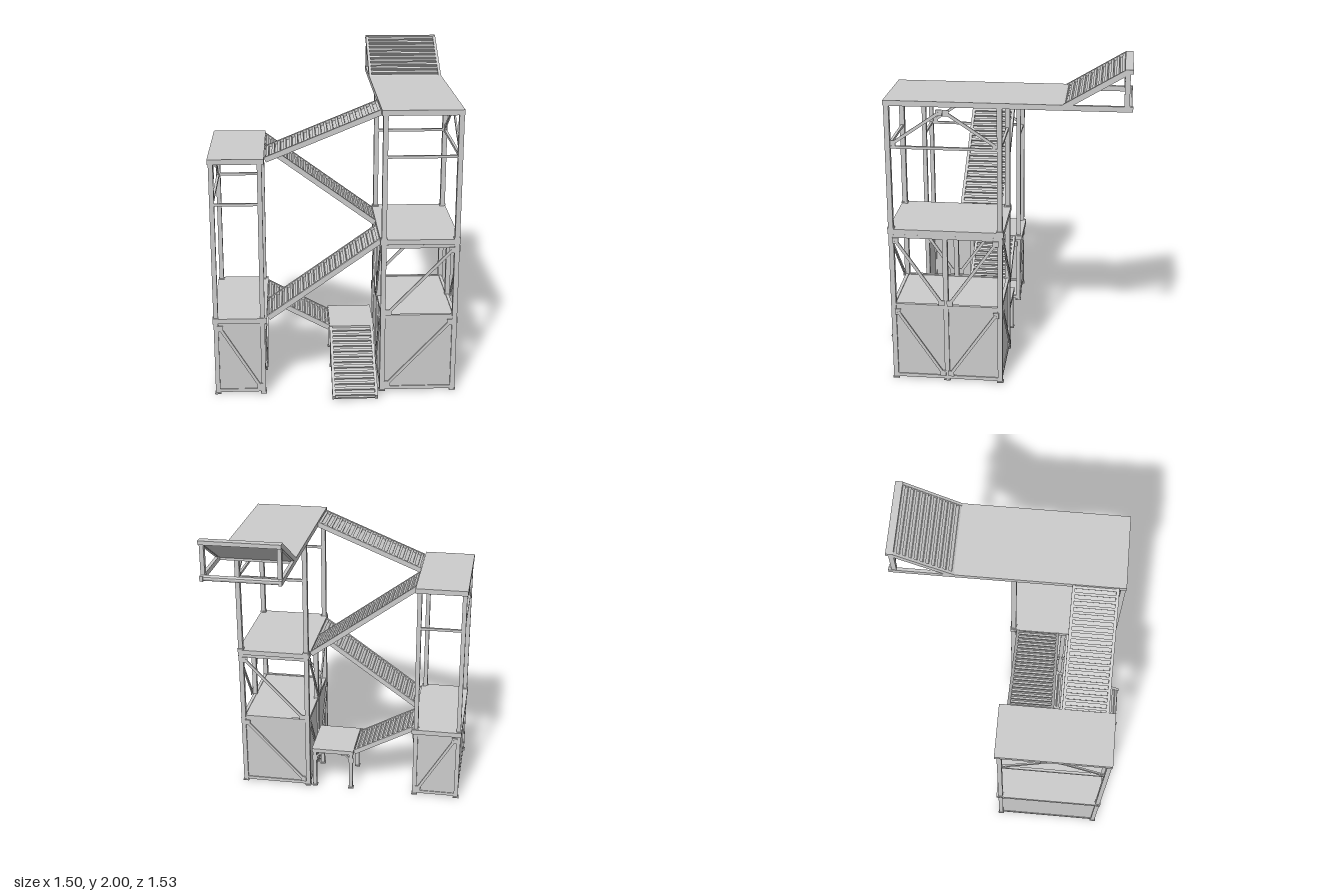
import * as THREE from 'three';

const mat = new THREE.MeshStandardMaterial({ color: 0xcccccc, flatShading: true });
const V = (x, y, z) => new THREE.Vector3(x, y, z);

// Box given by its min/max extents
function box(parent, name, x0, x1, y0, y1, z0, z1) {
  const m = new THREE.Mesh(new THREE.BoxGeometry(x1 - x0, y1 - y0, z1 - z0), mat);
  m.position.set((x0 + x1) / 2, (y0 + y1) / 2, (z0 + z1) / 2);
  m.name = name;
  parent.add(m);
  return m;
}

// Flat bar between two points, with a small gusset plate at each end
function brace(parent, a, b, w = 0.018, depth = 0.01) {
  const m = new THREE.Mesh(new THREE.BoxGeometry(w, a.distanceTo(b), depth), mat);
  const dir = b.clone().sub(a).normalize();
  const alongX = Math.abs(dir.x) > Math.abs(dir.z);
  const out = alongX ? V(0, 0, 1) : V(1, 0, 0);
  m.quaternion.setFromRotationMatrix(
    new THREE.Matrix4().makeBasis(dir.clone().cross(out), dir, out));
  m.position.copy(a).lerp(b, 0.5);
  m.name = 'diagonalBrace';
  parent.add(m);
  for (const p of [a, b]) {
    const hx = alongX ? 0.018 : 0.004, hz = alongX ? 0.004 : 0.018;
    box(parent, 'gusset', p.x - hx, p.x + hx, p.y - 0.018, p.y + 0.018, p.z - hz, p.z + hz);
  }
}

// Vertical post with a base plate
function post(parent, x, z, y0, y1, w = 0.03) {
  const h = w / 2;
  box(parent, 'post', x - h, x + h, y0, y1, z - h, z + h);
  box(parent, 'basePlate', x - h - 0.005, x + h + 0.005, y0, y0 + 0.008, z - h - 0.005, z + h + 0.005);
}

// Thin floor on a perimeter of edge beams with joists below
function deck(parent, name, x0, x1, z0, z1, top, h = 0.032, floorZ0 = z0) {
  const g = new THREE.Group(), t = 0.02;
  g.name = name;
  box(g, 'floorPlate', x0, x1, top - 0.008, top, floorZ0, z1);
  for (const x of [x0, x1 - t]) box(g, 'sideBeam', x, x + t, top - h, top - 0.001, z0, z1);
  for (const z of [floorZ0, z1 - t]) box(g, 'endBeam', x0, x1, top - h, top - 0.001, z, z + t);
  const n = Math.round((z1 - floorZ0) / 0.35);
  for (let i = 1; i < n; i++) {
    const z = floorZ0 + (z1 - floorZ0) * i / n;
    box(g, 'joist', x0, x1, top - h * 0.8, top - 0.004, z - 0.01, z + 0.01);
  }
  parent.add(g);
}

// Sloping walkway: stringers, plate and raised cleats, top edge running from a to b
function ramp(parent, name, a, b, width, cleats) {
  const g = new THREE.Group(), len = a.distanceTo(b), w = width / 2;
  const dir = b.clone().sub(a).normalize();
  const side = dir.clone().cross(V(0, 1, 0)).normalize();
  const normal = side.clone().cross(dir);
  g.quaternion.setFromRotationMatrix(new THREE.Matrix4().makeBasis(dir, normal, side));
  g.position.copy(a);
  g.name = name;
  for (const s of [-w, w - 0.018]) box(g, 'stringer', 0, len, -0.032, 0, s, s + 0.018);
  box(g, 'walkPlate', 0, len, -0.028, -0.016, -w + 0.01, w - 0.01);
  const step = len / cleats;
  for (let i = 0; i < cleats; i++) {
    const c = (i + 0.5) * step;
    box(g, 'cleat', c - step * 0.22, c + step * 0.22, -0.017, -0.003, -w + 0.012, w - 0.012);
  }
  parent.add(g);
}

export function createModel() {
  const model = new THREE.Group();
  const zB = -0.02, zM = 0.31, zF = 0.632;

  // Tall tower
  const tall = new THREE.Group();
  tall.name = 'tallTower';
  model.add(tall);
  const xa = 0.288, xb = 0.728;
  for (const x of [xa, xb]) {
    for (const z of [zB, zF]) {
      post(tall, x, z, 0, 0.97);
      post(tall, x, z, 1, 1.76);
    }
    post(tall, x, zM, 0, 0.97);
    for (const y of [0.02, 0.5, 0.955]) box(tall, 'sideRail', x - 0.01, x + 0.01, y - 0.012, y + 0.01, zB, zF);
    box(tall, 'sidePanel', x - 0.004, x + 0.004, 0.01, 0.49, zB, zF);
    // V-shaped bracing on both storeys, fixed outside the posts
    const xo = x === xa ? 0.27 : 0.747;
    for (const [lo, hi] of [[0.05, 0.46], [0.53, 0.93]]) {
      brace(tall, V(xo, hi, 0.605), V(xo, lo, 0.335));
      brace(tall, V(xo, lo, 0.285), V(xo, hi, 0.005));
    }
  }
  for (const z of [zB, zF]) {
    for (const y of [0.02, 0.5, 0.955]) box(tall, 'endRail', xa, xb, y - 0.012, y + 0.01, z - 0.01, z + 0.01);
    box(tall, 'endPanel', xa, xb, 0.01, 0.49, z - 0.004, z + 0.004);
    const zo = z === zB ? z - 0.017 : z + 0.014;
    brace(tall, V(0.32, 0.05, zo), V(0.7, 0.46, zo));
    brace(tall, V(0.32, 0.53, zo), V(0.7, 0.93, zo));
    box(tall, 'guardRail', xa, xb, 1.5, 1.516, z - 0.008, z + 0.008);
  }
  box(tall, 'bottomPlate', xa, xb, 0.008, 0.016, zB, zF);
  box(tall, 'lowerFloor', xa, xb, 0.495, 0.505, zB, zF);
  box(tall, 'guardRail', xb - 0.008, xb + 0.008, 1.5, 1.516, zB, zF);
  brace(tall, V(xb, 1.53, 0.605), V(xb, 1.72, 0.33));
  brace(tall, V(xb, 1.72, 0.29), V(xb, 1.53, 0.005));
  deck(tall, 'middleDeck', 0.265, 0.745, -0.042, 0.65, 1.0);
  deck(tall, 'topDeck', 0.265, 0.745, -0.77, 0.65, 1.79, 0.032, -0.4);

  // Launch ramp at the end of the cantilevered top deck
  const launch = new THREE.Group();
  launch.name = 'launchRamp';
  model.add(launch);
  ramp(launch, 'launchSlope', V(0.505, 1.785, -0.365), V(0.505, 2.0, -0.725), 0.48, 11);
  box(launch, 'topLip', 0.265, 0.745, 1.976, 2.0, -0.765, -0.72);
  for (const x of [0.268, 0.717]) box(launch, 'rampPost', x, x + 0.025, 1.78, 1.98, -0.75, -0.72);
  const pipe = new THREE.Mesh(new THREE.CylinderGeometry(0.017, 0.017, 0.47, 12), mat);
  pipe.rotation.z = Math.PI / 2;
  pipe.position.set(0.505, 1.775, -0.75);
  pipe.name = 'endPipe';
  launch.add(pipe);

  // Short tower
  const short = new THREE.Group();
  short.name = 'shortTower';
  model.add(short);
  const xl = -0.73, xr = -0.447;
  for (const x of [xl, xr]) {
    for (const z of [zB, zF]) {
      post(short, x, z, 0, 0.47, 0.028);
      post(short, x, z, 0.5, 1.48, 0.028);
    }
    for (const y of [0.02, 0.46]) box(short, 'sideRail', x - 0.009, x + 0.009, y - 0.01, y + 0.01, zB, zF);
  }
  // Inner side is open and braced, the other three are panelled
  post(short, xr, zM, 0, 0.47, 0.028);
  brace(short, V(-0.428, 0.44, 0.605), V(-0.428, 0.05, 0.335));
  brace(short, V(-0.428, 0.05, 0.285), V(-0.428, 0.44, 0.005));
  box(short, 'sidePanel', xl - 0.004, xl + 0.004, 0.01, 0.47, zB, zF);
  box(short, 'bottomPlate', xl, xr, 0.008, 0.016, zB, zF);
  for (const z of [zB, zF]) {
    for (const y of [0.02, 0.46]) box(short, 'endRail', xl, xr, y - 0.01, y + 0.01, z - 0.009, z + 0.009);
    box(short, 'endPanel', xl, xr, 0.01, 0.47, z - 0.004, z + 0.004);
    const zo = z === zB ? z - 0.014 : z + 0.012;
    brace(short, V(-0.705, 0.44, zo), V(-0.47, 0.05, zo));
    box(short, 'guardRail', xl, xr, 1.22, 1.236, z - 0.008, z + 0.008);
  }
  box(short, 'guardRail', xl - 0.008, xl + 0.008, 1.22, 1.236, zB, zF);
  brace(short, V(xl, 1.25, 0.605), V(xl, 1.44, 0.33));
  brace(short, V(xl, 1.44, 0.29), V(xl, 1.25, 0.005));
  deck(short, 'lowerDeck', -0.75, -0.42, -0.048, 0.65, 0.505);
  deck(short, 'upperDeck', -0.75, -0.42, -0.048, 0.65, 1.508);

  // Low landing on four legs with knee braces
  const landing = new THREE.Group();
  landing.name = 'landing';
  model.add(landing);
  deck(landing, 'landingDeck', -0.025, 0.26, -0.033, 0.305, 0.292, 0.028);
  for (const x of [-0.008, 0.242]) for (const z of [-0.015, 0.285]) {
    post(landing, x, z, 0, 0.268, 0.025);
    brace(landing, V(x, 0.215, z), V(x + (x < 0 ? 0.05 : -0.05), 0.265, z), 0.012);
  }

  // Walkways zigzagging between the towers
  const back = 0.14, front = 0.468;
  ramp(model, 'entryRamp', V(0.115, 0.03, 0.765), V(0.115, 0.29, 0.305), 0.28, 13);
  ramp(model, 'firstRamp', V(-0.02, 0.285, back), V(-0.42, 0.503, back), 0.28, 12);
  ramp(model, 'secondRamp', V(-0.42, 0.503, front), V(0.27, 0.998, front), 0.28, 21);
  ramp(model, 'thirdRamp', V(0.27, 0.998, back), V(-0.42, 1.506, back), 0.28, 21);
  ramp(model, 'fourthRamp', V(-0.42, 1.506, front), V(0.27, 1.788, front), 0.28, 20);
  return model;
}
